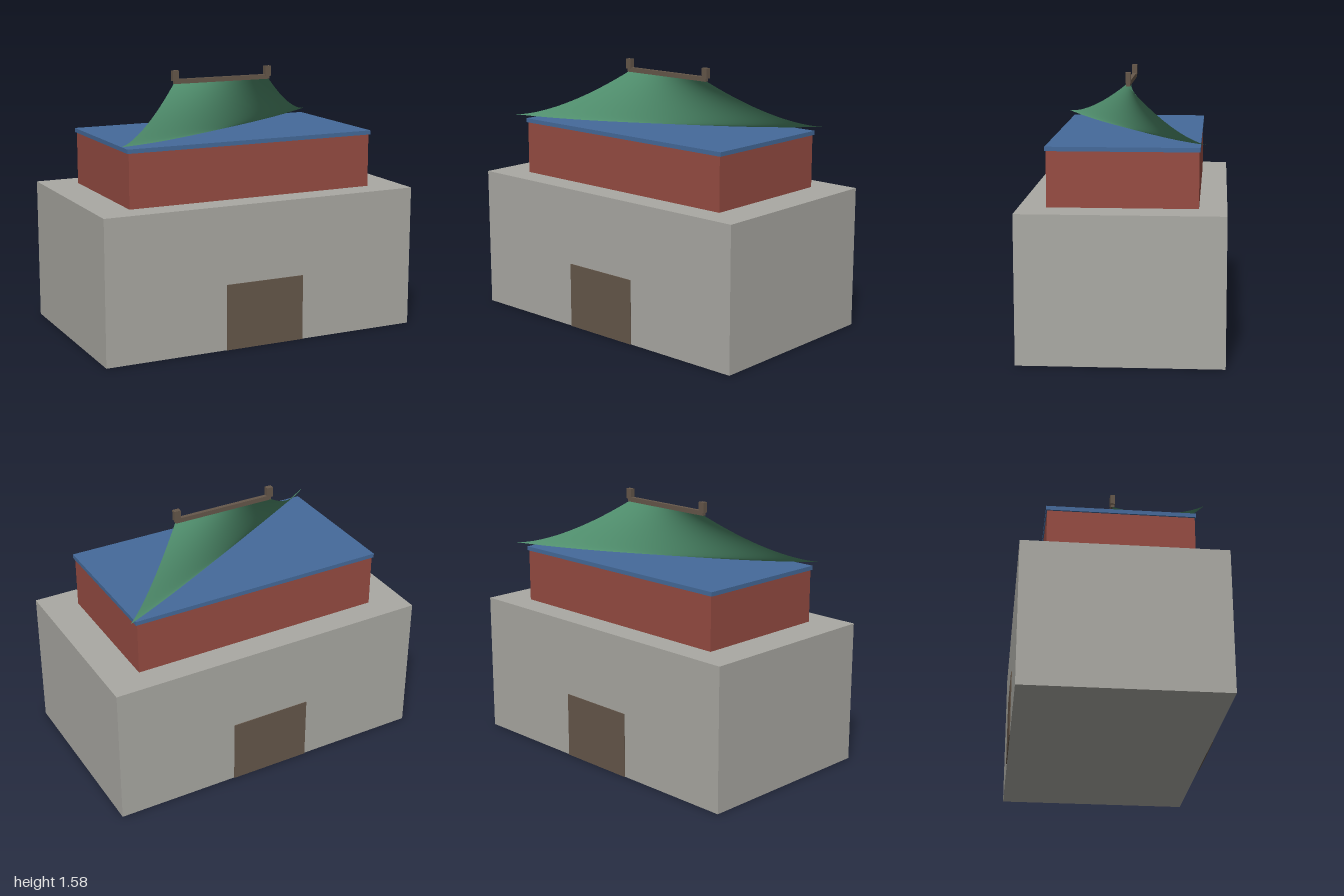
import * as THREE from 'three';

const mat = (color, side = THREE.FrontSide) => new THREE.MeshStandardMaterial({ color, side });

export function createModel() {
  const group = new THREE.Group();
  const stone = mat(0xaaa9a3), red = mat(0x964c42), blue = mat(0x456a9a), wood = mat(0x65574a);

  // Box from its size, bottom height and x position
  function box(name, w, h, d, bottom, material, x = 0) {
    const mesh = new THREE.Mesh(new THREE.BoxGeometry(w, h, d), material);
    mesh.name = name;
    mesh.position.set(x, bottom + h / 2, 0);
    group.add(mesh);
  }

  // Gate base with a passage block running through it
  box('gateBase', 2, 0.86, 1.174, 0, stone);
  box('gatePassage', 0.5, 0.395, 1.184, 0, wood);

  // Upper hall and the beam band under the eaves
  box('hallWalls', 1.57, 0.32, 0.858, 0.86, red);
  box('eavesBand', 1.59, 0.025, 0.87, 1.18, blue);

  // Roof: one twisted sheet from the ridge down to a diagonal eave with lifted tips
  const roof = new THREE.PlaneGeometry(2, 1, 48, 20);
  const p = roof.attributes.position;
  for (let i = 0; i < p.count; i++) {
    const s = p.getX(i), t = 0.5 - p.getY(i);
    const y = 1.207 + 0.293 * Math.pow(1 - t, 1.5) + 0.022 * Math.abs(s) ** 3 * t * t;
    p.setXYZ(i, s * (0.32 + 0.525 * t), y, -s * 0.475 * t);
  }
  roof.computeVertexNormals();
  const roofMesh = new THREE.Mesh(roof, mat(0x4f8d6c, THREE.DoubleSide));
  roofMesh.name = 'roof';
  group.add(roofMesh);

  // Ridge beam with a post at each end
  box('ridge', 0.64, 0.028, 0.024, 1.5, wood);
  for (const side of [-1, 1]) {
    box(side > 0 ? 'leftRidgePost' : 'rightRidgePost', 0.04, 0.062, 0.03, 1.518, wood, side * 0.31);
  }
  return group;
}
